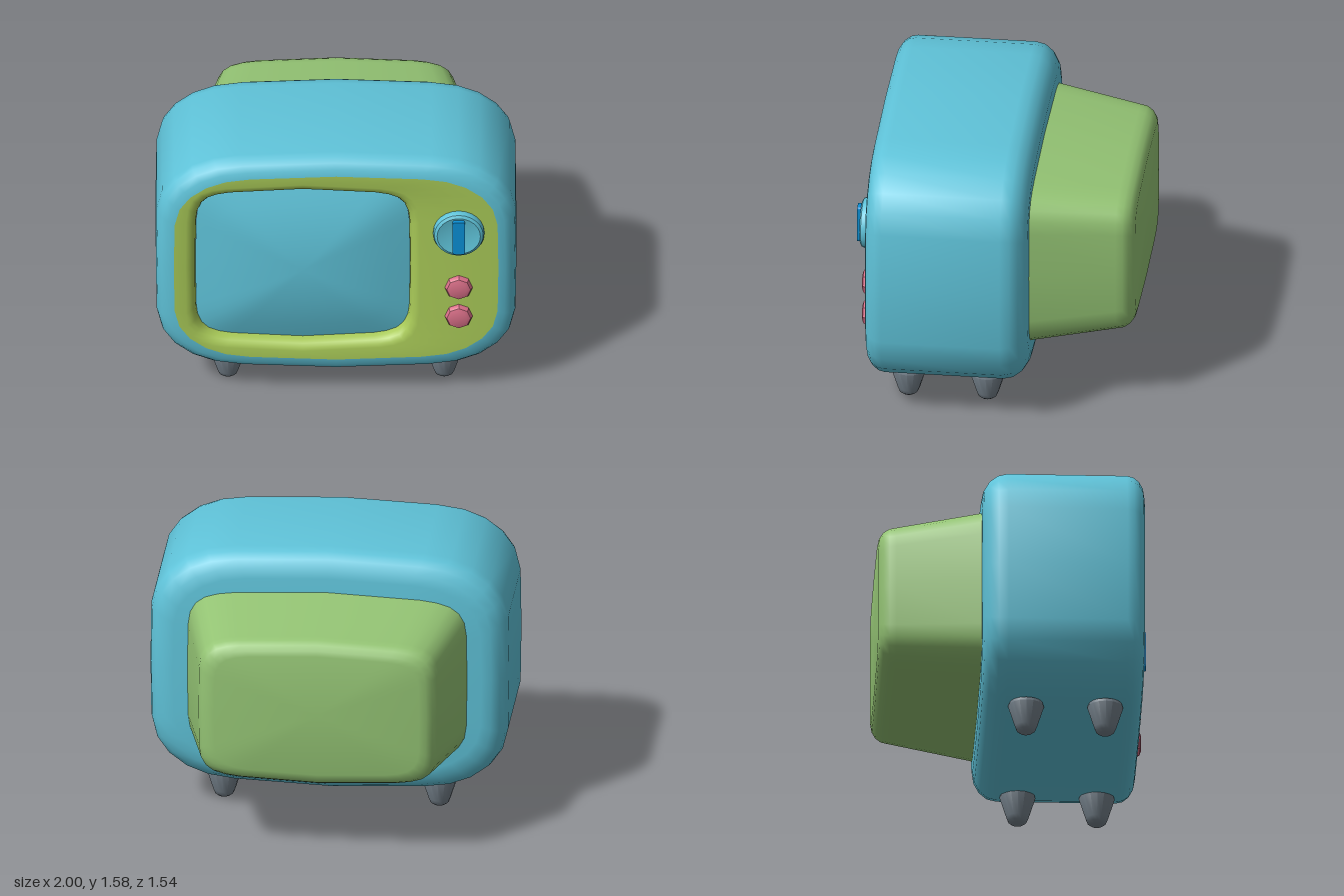
import * as THREE from 'three';
import { toCreasedNormals } from 'three/addons/utils/BufferGeometryUtils.js';

// Quarter outlines (unit half-size), mirrored into a full bulging rounded rectangle
const ROUND = [[1, 0], [0.995, 0.47], [0.965, 0.64], [0.9, 0.77], [0.8, 0.875], [0.68, 0.94], [0.53, 0.97], [0, 1]];
const TIGHT = [[1, 0], [0.995, 0.55], [0.98, 0.7], [0.94, 0.81], [0.875, 0.885], [0.78, 0.93], [0.66, 0.955], [0, 1]];
const MID_Y = 0.86;

function fullOutline(quarter) {
  const half = [...quarter, ...quarter.slice(0, -1).reverse().map(([x, y]) => [-x, y])];
  return [...half, ...half.slice(1, -1).reverse().map(([x, y]) => [x, -y])];
}

function ring(quarter, cx, hx, hy, z) {
  return fullOutline(quarter).map(([x, y]) => [cx + x * hx, MID_Y + y * hy, z]);
}

// Skin a list of rings, running from the front centre outwards and back
function loft(rings) {
  const n = rings[0].length;
  const index = [];
  for (let r = 0; r < rings.length - 1; r++) {
    for (let i = 0; i < n; i++) {
      const j = (i + 1) % n;
      const a = r * n + i, b = r * n + j, c = a + n, d = b + n;
      index.push(a, c, b, b, c, d);
    }
  }
  const geometry = new THREE.BufferGeometry();
  geometry.setAttribute('position', new THREE.Float32BufferAttribute(rings.flat(2), 3));
  geometry.setIndex(index);
  return toCreasedNormals(geometry, 0.65);
}

function lathe(points, segments) {
  const profile = points.map(([x, y]) => new THREE.Vector2(x, y));
  return toCreasedNormals(new THREE.LatheGeometry(profile, segments), 0.65);
}

export function createModel() {
  const material = (name, color) => new THREE.MeshStandardMaterial({ name, color });
  const teal = material('teal', 0x5fc3d9);
  const lime = material('lime', 0xa8c957);
  const green = material('green', 0x94c474);
  const pink = material('pink', 0xd96f88);
  const blue = material('blue', 0x0a8fd6);
  const grey = material('grey', 0x74808a);

  const model = new THREE.Group();
  model.name = 'television';
  function add(name, geometry, mat, x = 0, y = 0, z = 0) {
    const mesh = new THREE.Mesh(geometry, mat);
    mesh.name = name;
    mesh.position.set(x, y, z);
    model.add(mesh);
    return mesh;
  }

  // Cabinet: rounded front edge, straight sides, softer back edge, closed back
  const cabinet = [];
  for (let k = 0; k <= 4; k++) {
    const t = (k / 4) * Math.PI / 2, inset = 0.1 * (1 - Math.sin(t));
    cabinet.push(ring(ROUND, 0, 1 - inset, 0.72 - inset, 0.7 - 0.1 * (1 - Math.cos(t))));
  }
  for (let k = 0; k <= 4; k++) {
    const t = (k / 4) * Math.PI / 2, inset = 0.14 * (1 - Math.cos(t));
    cabinet.push(ring(ROUND, 0, 1 - inset, 0.72 - inset, -0.2 + 0.14 * (1 - Math.sin(t))));
  }
  cabinet.push(ring(ROUND, 0, 0, 0, -0.2));
  add('cabinet', loft(cabinet), teal);

  // Front panel with a rim rolling inwards to the screen
  const SX = -0.185, SW = 0.595, SH = 0.508;
  const rim = [[0, 0.62], [0.004, 0.655], [0.016, 0.68], [0.034, 0.695], [0.055, 0.7]];
  const panel = rim.map(([grow, z]) => ring(TIGHT, SX, SW + grow, SH + grow, z));
  panel.push(ring(ROUND, 0, 0.9, 0.62, 0.7));
  add('frontPanel', loft(panel), lime);

  // Domed screen
  const dome = [0, 0.2, 0.4, 0.6, 0.8, 1].map((r) => ring(TIGHT, SX, SW * r, SH * r, 0.72 - 0.09 * r * r));
  add('screen', loft(dome), teal);

  // Tapered rear housing
  const housing = [ring(TIGHT, 0, 0.782, 0.5, -0.19)];
  for (let k = 0; k <= 4; k++) {
    const t = (k / 4) * Math.PI / 2, inset = 0.1 * (1 - Math.cos(t));
    housing.push(ring(TIGHT, 0, 0.672 - inset, 0.438 - inset * 0.8, -0.67 - 0.1 * Math.sin(t)));
  }
  housing.push(ring(TIGHT, 0, 0, 0, -0.77));
  add('rearHousing', loft(housing), green);

  // Channel knob with a shallow dish and a pointer bar
  const knob = lathe([[0.142, -0.01], [0.142, 0.02], [0.136, 0.035], [0.12, 0.044], [0.1, 0.04], [0.06, 0.034], [0, 0.032]], 24);
  add('knob', knob, teal, 0.68, 1.105, 0.7).rotation.x = Math.PI / 2;

  const bar = new THREE.Shape();
  const w = 0.034, h = 0.107, c = 0.014;
  bar.moveTo(-w + c, -h);
  bar.lineTo(w - c, -h);
  bar.quadraticCurveTo(w, -h, w, -h + c);
  bar.lineTo(w, h - c);
  bar.quadraticCurveTo(w, h, w - c, h);
  bar.lineTo(-w + c, h);
  bar.quadraticCurveTo(-w, h, -w, h - c);
  bar.lineTo(-w, -h + c);
  bar.quadraticCurveTo(-w, -h, -w + c, -h);
  const pointer = new THREE.ExtrudeGeometry(bar, { depth: 0.055, bevelEnabled: false, curveSegments: 3 });
  add('knobPointer', pointer, blue, 0.68, 1.105, 0.711);

  // Eight-sided buttons
  const button = lathe([[0.075, -0.01], [0.075, 0.018], [0.066, 0.031], [0.045, 0.038], [0, 0.04]], 8);
  for (const y of [0.735, 0.54]) add('button', button, pink, 0.68, y, 0.7).rotation.x = Math.PI / 2;

  // Tapered feet
  const foot = lathe([[0, 0], [0.035, 0.002], [0.052, 0.015], [0.062, 0.04], [0.1, 0.16], [0.095, 0.178], [0.08, 0.185], [0, 0.185]], 16);
  for (const x of [-0.6, 0.6]) for (const z of [0.49, 0.05]) add('foot', foot, grey, x, 0, z);

  return model;
}
